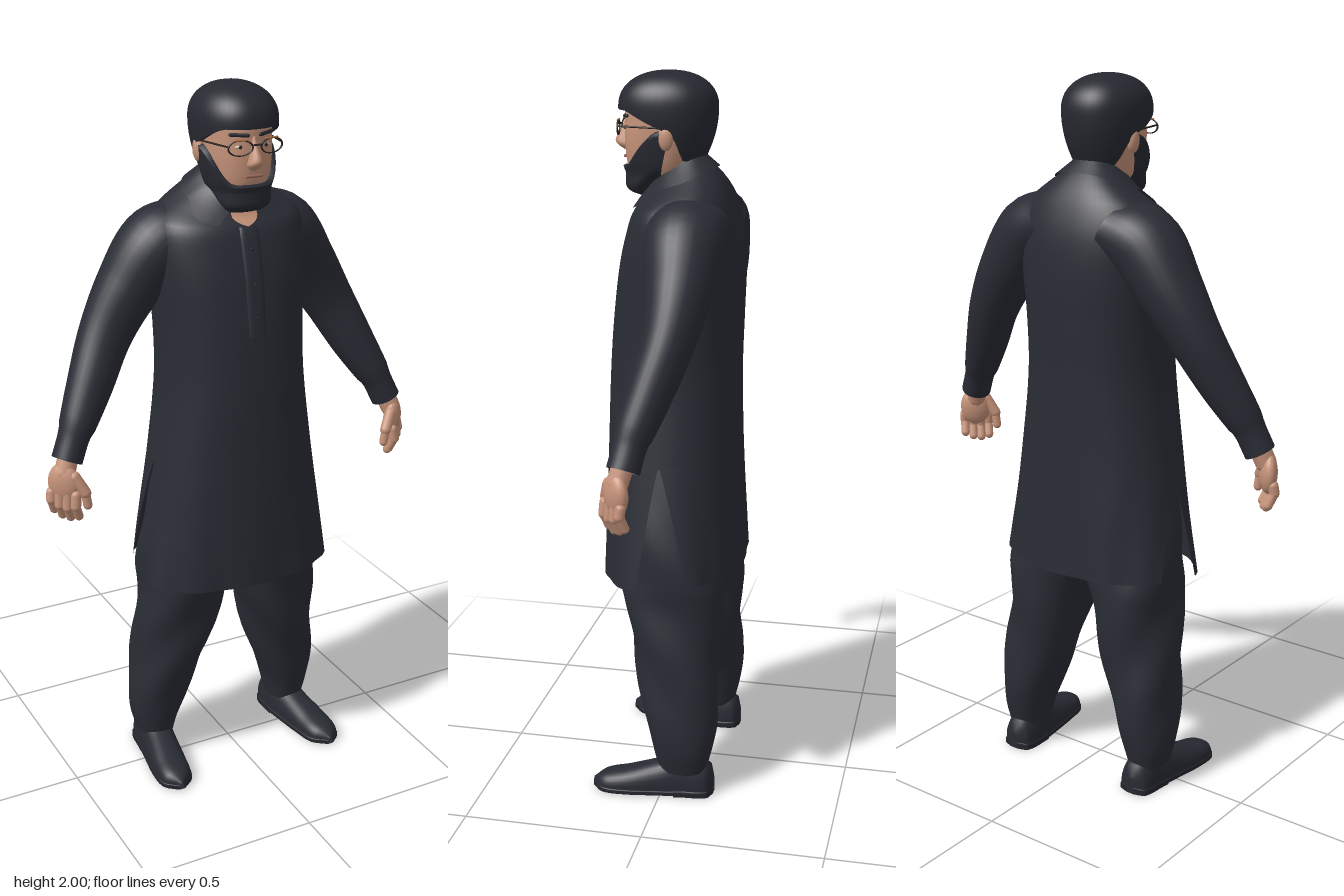
import * as THREE from 'three';

const V = (x, y, z) => new THREE.Vector3(x, y, z);
const material = (name, color, side = THREE.DoubleSide) => {
  const m = new THREE.MeshStandardMaterial({ color, side });
  m.name = name;
  return m;
};

// Smooth lookup in a table whose first column is the key
function at(rows, k) {
  let i = 0;
  while (i < rows.length - 2 && k > rows[i + 1][0]) i++;
  const a = rows[i], b = rows[i + 1], h = b[0] - a[0];
  const t = THREE.MathUtils.clamp((k - a[0]) / h, 0, 1), t2 = t * t, t3 = t2 * t;
  const slope = (j, c) => {
    const p = rows[Math.max(j - 1, 0)], q = rows[Math.min(j + 1, rows.length - 1)];
    return (q[c] - p[c]) / (q[0] - p[0]);
  };
  return a.map((_, c) => a[c] * (2 * t3 - 3 * t2 + 1) + b[c] * (3 * t2 - 2 * t3)
    + h * (slope(i, c) * (t3 - 2 * t2 + t) + slope(i + 1, c) * (t3 - t2)));
}

// Grid surface from fn(u, v); closed wraps around in u
function surface(fn, nu, nv, closed = true) {
  const pos = [], index = [], w = closed ? nu : nu + 1;
  for (let j = 0; j <= nv; j++) for (let i = 0; i < w; i++) pos.push(...fn(i / nu, j / nv).toArray());
  for (let j = 0; j < nv; j++) for (let i = 0; i < nu; i++) {
    const k = (i + 1) % w, a = j * w + i, b = j * w + k;
    index.push(a, b, b + w, a, b + w, a + w);
  }
  const g = new THREE.BufferGeometry();
  g.setAttribute('position', new THREE.Float32BufferAttribute(pos, 3));
  g.setIndex(index);
  g.computeVertexNormals();
  return g;
}

// Point on a horizontal ring; row = [y, cx, rx, zBack, zFront]
const pw = (s, p) => Math.sign(s) * Math.pow(Math.abs(s), 2 / p);
function ring(rows, y, a, p = 2.2, grow = 0) {
  const [, cx, rx, zb, zf] = at(rows, y);
  return V(cx + (rx + grow) * pw(Math.sin(a), p), y,
    (zb + zf) / 2 + ((zf - zb) / 2 + grow) * pw(Math.cos(a), p));
}
function loft(rows, nu, nv, p, fold = 0) {
  const y0 = rows[0][0], y1 = rows[rows.length - 1][0];
  return surface((u, v) => {
    const y = y0 + (y1 - y0) * v, a = u * Math.PI * 2;
    return ring(rows, y, a, p, fold * Math.sin(3 * a + y * 22) * Math.sin(v * Math.PI));
  }, nu, nv);
}

// Sweep along a path; row = [t, x, y, z, widthRadius, depthRadius]
function sweep(rows, nu, nv) {
  return surface((u, v) => {
    const r = at(rows, v), q = at(rows, Math.min(v + 0.01, 1)), o = at(rows, Math.max(v - 0.01, 0));
    const t = V(q[1] - o[1], q[2] - o[2], q[3] - o[3]).normalize();
    const n = t.clone().cross(V(0, 0, 1)).normalize(), m = t.clone().cross(n), a = u * Math.PI * 2;
    return V(r[1], r[2], r[3]).addScaledVector(n, r[4] * Math.cos(a)).addScaledVector(m, r[5] * Math.sin(a));
  }, nu, nv);
}

const TUNIC = [[0.62, 0, 0.294, -0.192, 0.2], [0.8, 0, 0.263, -0.185, 0.197], [1, 0, 0.232, -0.176, 0.192],
  [1.2, 0, 0.207, -0.173, 0.186], [1.35, 0, 0.206, -0.177, 0.175], [1.5, 0, 0.217, -0.18, 0.155],
  [1.6, 0, 0.22, -0.17, 0.13], [1.66, 0, 0.2, -0.148, 0.112], [1.7, 0, 0.148, -0.118, 0.097],
  [1.74, 0, 0.08, -0.072, 0.085], [1.76, 0, 0.06, -0.045, 0.075]];
const HEAD = [[1.69, 0, 0.045, 0, 0.11], [1.74, 0, 0.074, -0.03, 0.138], [1.8, 0, 0.087, -0.06, 0.148],
  [1.86, 0, 0.092, -0.085, 0.148], [1.92, 0, 0.088, -0.085, 0.142], [1.965, 0, 0.06, -0.05, 0.1],
  [1.98, 0, 0.002, 0.02, 0.024]];
const LEG = [[0.07, 0.222, 0.052, -0.125, 0.01], [0.13, 0.222, 0.066, -0.14, 0.026], [0.2, 0.213, 0.08, -0.15, 0.045],
  [0.3, 0.193, 0.096, -0.152, 0.068], [0.4, 0.173, 0.106, -0.152, 0.09], [0.55, 0.146, 0.12, -0.157, 0.118],
  [0.62, 0.137, 0.128, -0.16, 0.13], [0.8, 0.12, 0.12, -0.14, 0.13], [0.95, 0.1, 0.1, -0.13, 0.13]];
const ARM = [[0, 0.11, 1.605, -0.05, 0.085, 0.112], [0.15, 0.19, 1.568, -0.052, 0.1, 0.108], [0.32, 0.27, 1.465, -0.056, 0.088, 0.09],
  [0.53, 0.345, 1.345, -0.045, 0.074, 0.07], [0.73, 0.41, 1.22, -0.01, 0.063, 0.06], [0.88, 0.465, 1.12, 0.022, 0.049, 0.05],
  [0.91, 0.474, 1.103, 0.026, 0.043, 0.045], [1, 0.502, 1.04, 0.038, 0.042, 0.044]];
const NOSE = [[1.788, 0, 0.01, 0.12, 0.15], [1.803, 0, 0.021, 0.12, 0.171], [1.815, 0, 0.018, 0.12, 0.178],
  [1.85, 0, 0.01, 0.12, 0.16], [1.88, 0, 0.008, 0.12, 0.147]];
const SHOE = [[-0.147, 0.218, 0.01, 0.05], [-0.135, 0.218, 0.04, 0.085], [-0.06, 0.221, 0.05, 0.115],
  [0.01, 0.23, 0.052, 0.09], [0.1, 0.243, 0.052, 0.064], [0.165, 0.249, 0.042, 0.048], [0.197, 0.251, 0.006, 0.026]];

// Tunic surface, tilted down toward the front at the neck
function tunicPoint(y, a, grow = 0) {
  const p = ring(TUNIC, y, a, 2.3, grow);
  p.y -= THREE.MathUtils.smoothstep(y, 1.6, 1.76) * 0.05 * (Math.cos(a) + 0.3);
  return p;
}

export function createModel() {
  const root = new THREE.Group();
  root.name = 'standingMan';
  const cloth = material('charcoal cloth', 0x2a2c35), hair = material('dark hair', 0x272931);
  const skin = material('skin', 0xc6937a), leather = material('shoe leather', 0x282a33);
  const sole = material('shoe sole', 0x23252c), frame = material('glasses frame', 0x2b2220);
  const white = material('eye white', 0xd0c4ba), lip = material('lips', 0xa06a58);
  const brass = material('glasses trim', 0xa8713f);
  const add = (name, geometry, mat, parent = root) => {
    const m = new THREE.Mesh(geometry, mat);
    m.name = name;
    parent.add(m);
    return m;
  };
  const rod = (name, a, b, r, mat, parent) => {
    const d = b.clone().sub(a), m = add(name, new THREE.CapsuleGeometry(r, d.length(), 4, 10), mat, parent);
    m.position.copy(a).addScaledVector(d, 0.5);
    m.quaternion.setFromUnitVectors(V(0, 1, 0), d.normalize());
  };
  const ball = (name, p, s, mat, parent) => {
    const m = add(name, new THREE.SphereGeometry(1, 20, 14), mat, parent);
    m.position.copy(p);
    m.scale.copy(s);
  };

  // Tunic body, and two skirt panels parted by the side slits
  const slit = 0.97;
  add('tunicBody', surface((u, v) => tunicPoint(slit + (1.76 - slit) * v, u * Math.PI * 2), 56, 44), cloth);
  for (const [name, mid, bottom, cut] of [['tunicFrontPanel', 0, 0.62, 0.27], ['tunicBackPanel', Math.PI, 0.64, 0.38]])
    add(name, surface((u, v) => {
      const y = bottom + (slit - bottom) * v, half = Math.PI / 2 - cut * (1 - v);
      return tunicPoint(y, mid + (u * 2 - 1) * half, 0.003 * (1 - v) * Math.sin(u * 30));
    }, 40, 14, false), cloth);

  // Neck, open neckline, placket, buttons and pointed collar
  add('neck', loft([[1.62, 0, 0.058, -0.04, 0.07], [1.7, 0, 0.056, -0.035, 0.075], [1.8, 0, 0.056, -0.04, 0.08]], 24, 6), skin);
  add('necklineSkin', surface((u, v) => tunicPoint(1.65 + 0.108 * v, (u * 2 - 1) * 0.42 * v, 0.004), 8, 8, false), skin);
  add('placket', surface((u, v) => tunicPoint(1.35 + 0.3 * v, (u * 2 - 1) * 0.1, 0.005 - 0.007 * (u * 2 - 1) ** 4), 10, 14, false), cloth);
  for (let i = 0; i < 3; i++) ball('button', tunicPoint(1.4 + i * 0.09, 0, 0.005), V(0.004, 0.004, 0.002), leather);
  add('collar', surface((u, v) => {
    const a = 0.24 + u * (Math.PI * 2 - 0.48), front = Math.max(0, Math.cos(a));
    const p = tunicPoint(1.757, a, 0.01), q = tunicPoint(1.72 - 0.058 * front ** 4, a + 0.55 * Math.sin(a) * front, 0.01);
    return q.lerp(p, v);
  }, 56, 6, false), cloth);

  // Head, hair cap and beard
  add('head', loft(HEAD, 36, 30), skin);
  add('hair', surface((u, v) => {
    const a = u * Math.PI * 2, c = Math.cos(a), w = Math.min(1, (1 - v) / 0.93);
    const edge = c > 0 ? 1.85 + 0.048 * Math.min(1, c * 1.4) : 1.85 - 0.085 * THREE.MathUtils.smoothstep(-c, 0.05, 0.6);
    const y = 2 - (2 - edge) * w * w, k = (y - 1.905) / 0.095;
    let s = k > 0 ? Math.pow(Math.max(0, 1 - k ** 2.2), 1 / 2.2) : 1 - 0.13 * k * k;
    if (v === 0) s *= 0.82;
    return V(0.11 * s * pw(Math.sin(a), 2.2), y, 0.028 + (c > 0 ? 0.138 : 0.132) * s * pw(c, 2.2));
  }, 44, 28), hair);
  add('beard', surface((u, v) => {
    const a = (u * 2 - 1) * 1.75, t = THREE.MathUtils.smoothstep(Math.abs(a), 0.4, 1.6);
    const top = 1.752 + 0.098 * t ** 1.8, low = 1.67 + 0.045 * THREE.MathUtils.smoothstep(Math.abs(a), 0.8, 1.75);
    const k = Math.min(1, v / 0.3) * Math.PI / 2;
    const y = low + 0.03 * (1 - Math.cos(k)) + (top - low - 0.03) * Math.max(0, (v - 0.3) / 0.7);
    const p = ring(HEAD, Math.max(y, 1.732), a, 2.3, v === 1 ? -0.003 : 0.012);
    const s = 0.4 + 0.6 * Math.sin(k);
    return V(p.x * s, y, 0.045 + (p.z - 0.045) * s);
  }, 40, 20, false), hair);

  // Face
  add('nose', loft(NOSE, 16, 14), skin);
  rod('mouth', V(-0.022, 1.774, 0.146), V(0.022, 1.774, 0.146), 0.004, lip, root);
  rod('glassesBridge', V(-0.012, 1.858, 0.164), V(0.012, 1.858, 0.164), 0.0025, frame, root);
  for (const s of [-1, 1]) {
    const side = new THREE.Group();
    side.name = s > 0 ? 'leftFace' : 'rightFace';
    side.scale.x = s;
    root.add(side);
    ball('ear', V(0.095, 1.83, 0.018), V(0.014, 0.034, 0.021), skin, side);
    ball('eye', V(0.037, 1.851, 0.136), V(0.012, 0.005, 0.007), white, side);
    ball('pupil', V(0.037, 1.851, 0.142), V(0.005, 0.005, 0.003), sole, side);
    rod('eyebrow', V(0.018, 1.88, 0.147), V(0.06, 1.883, 0.131), 0.005, hair, side);
    const rim = add('glassesRim', new THREE.TorusGeometry(0.03, 0.0024, 8, 28), frame, side);
    rim.position.set(0.045, 1.852, 0.158);
    rim.rotation.y = 0.15;
    rim.scale.set(1.1, 0.65, 1);
    rod('glassesTrim', V(0.026, 1.8715, 0.161), V(0.062, 1.8715, 0.156), 0.0025, brass, side);
    rod('glassesTemple', V(0.077, 1.857, 0.152), V(0.1, 1.855, 0.022), 0.0025, frame, side);
  }

  // Limbs, built once for the left and mirrored
  for (const s of [-1, 1]) {
    const limb = new THREE.Group();
    limb.name = s > 0 ? 'leftLimbs' : 'rightLimbs';
    limb.scale.x = s;
    root.add(limb);
    add('sleeve', sweep(ARM, 28, 40), cloth, limb);
    add('trouserLeg', loft(LEG, 40, 48, 2.3, 0.006), cloth, limb);

    // Hand, its back turned outward and forward
    rod('wrist', V(0.494, 1.065, 0.036), V(0.514, 1.01, 0.05), 0.029, skin, limb);
    const hand = new THREE.Group();
    hand.name = 'hand';
    hand.position.set(0.518, 0, 0.055);
    hand.rotation.y = -0.75;
    limb.add(hand);
    ball('palm', V(0, 0.982, -0.002), V(0.025, 0.058, 0.046), skin, hand);
    for (let i = 0; i < 4; i++) {
      const z = -0.036 + i * 0.024, drop = [0.016, 0.004, 0, 0.006][i];
      const knuckle = V(0.008, 0.955, z), bend = V(0.012, 0.918 + drop, z), tip = V(-0.004, 0.884 + drop, z);
      rod('fingerBase', knuckle, bend, 0.0142, skin, hand);
      rod('fingerTip', bend, tip, 0.0128, skin, hand);
    }
    rod('thumbBase', V(0, 1.005, 0.03), V(-0.008, 0.96, 0.056), 0.016, skin, hand);
    rod('thumbTip', V(-0.008, 0.96, 0.056), V(-0.012, 0.922, 0.06), 0.0125, skin, hand);

    // Shoe with flat-bottomed upper, sole and heel
    const shoe = (bottom, top, grow, z0, z1) => surface((u, v) => {
      const [z, cx, w, h] = at(SHOE, z0 + (z1 - z0) * v), a = u * Math.PI * 2, p = top ? 8 : 2.5;
      const lift = Math.max(0, pw(Math.cos(a), p));
      return V(cx - (w + grow) * pw(Math.sin(a), p), bottom + ((top ?? h) - bottom) * lift, z);
    }, 32, 32);
    add('shoeUpper', shoe(0.012, null, 0, -0.147, 0.197), leather, limb);
    add('shoeSole', shoe(0.004, 0.018, 0.003, -0.147, 0.197), sole, limb);
    add('shoeHeel', shoe(0, 0.02, 0.003, -0.147, -0.04), sole, limb);
  }
  return root;
}
